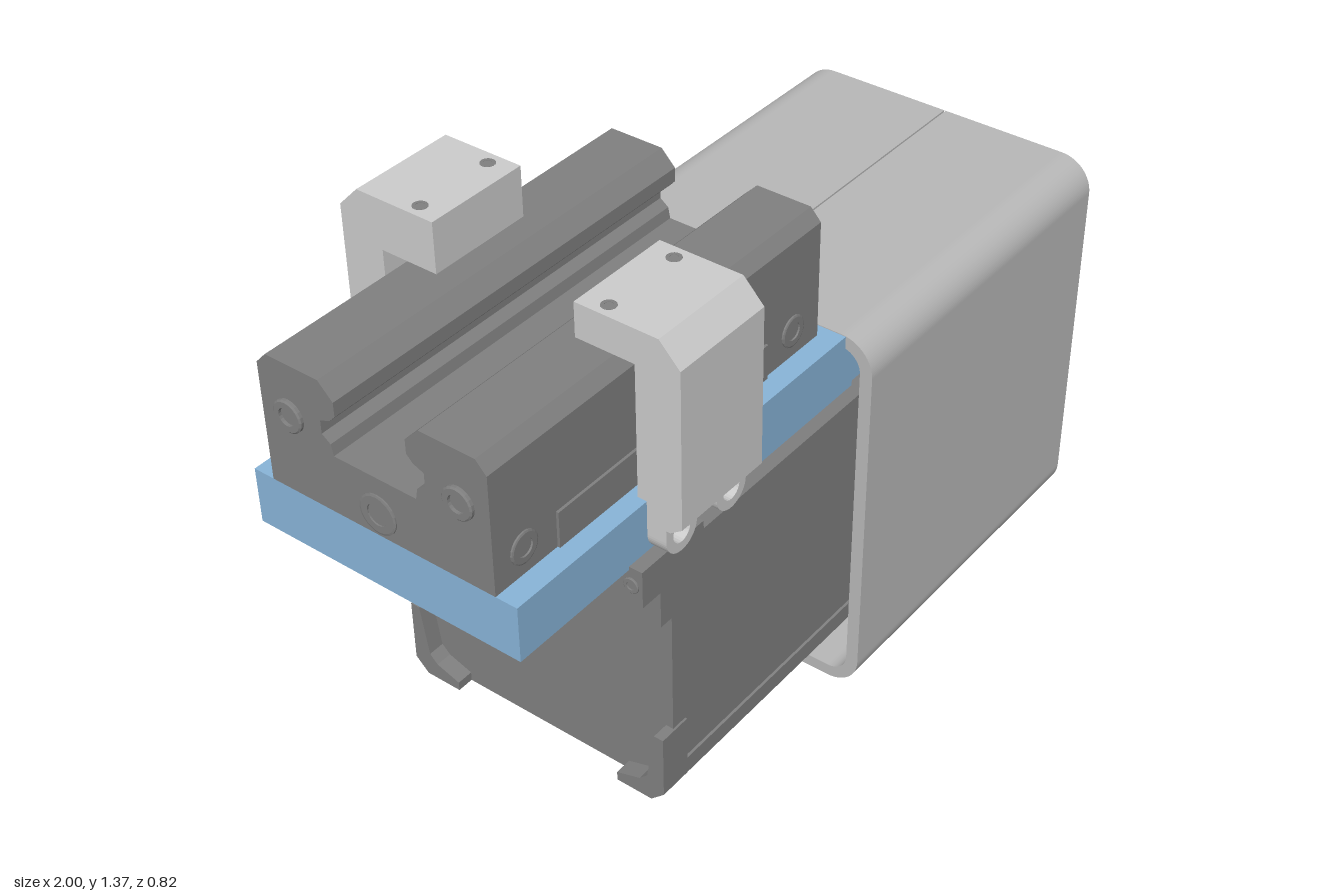
import * as THREE from 'three';

const lightGrey = new THREE.MeshStandardMaterial({ color: 0xcccccc });
const sleeveGrey = new THREE.MeshStandardMaterial({ color: 0xb8b8b8 });
const darkGrey = new THREE.MeshStandardMaterial({ color: 0x808080 });
const screwGrey = new THREE.MeshStandardMaterial({ color: 0x808080, side: THREE.DoubleSide });
const blue = new THREE.MeshStandardMaterial({ color: 0x88b4d8 });

function polygon(points) {
  return new THREE.Shape(points.map(([a, b]) => new THREE.Vector2(a, b)));
}

// Outline given on one side, mirrored to the other
function symmetric(points) {
  return polygon([...points, ...points.map(([a, b]) => [-a, b]).reverse()]);
}

function circlePath(a, b, r) {
  return new THREE.Path().absarc(a, b, r, 0, Math.PI * 2, true);
}

export function createModel() {
  const group = new THREE.Group();

  function add(name, geometry, material) {
    const mesh = new THREE.Mesh(geometry, material);
    mesh.name = name;
    group.add(mesh);
    return mesh;
  }

  // Extrudes a section along x; the section's first axis is -z, its second is y
  function alongX(name, shape, x0, x1, material) {
    const g = new THREE.ExtrudeGeometry(shape, { depth: x1 - x0, bevelEnabled: false, curveSegments: 16 });
    add(name, g.rotateY(Math.PI / 2).translate(x0, 0, 0), material);
  }

  function box(name, x0, x1, y0, y1, z0, z1, material) {
    const g = new THREE.BoxGeometry(x1 - x0, y1 - y0, z1 - z0);
    add(name, g.translate((x0 + x1) / 2, (y0 + y1) / 2, (z0 + z1) / 2), material);
  }

  // Socket-head screw pointing along a direction
  function screw(name, position, direction, r, h) {
    const profile = [[r, 0], [r, h * 0.7], [r * 0.9, h], [r * 0.55, h], [r * 0.55, h * 0.2], [0, h * 0.2]];
    const g = new THREE.LatheGeometry(profile.map(([a, b]) => new THREE.Vector2(a, b)), 20).toNonIndexed();
    g.computeVertexNormals();
    const mesh = add(name, g, screwGrey);
    mesh.position.set(...position);
    mesh.quaternion.setFromUnitVectors(new THREE.Vector3(0, 1, 0), new THREE.Vector3(...direction));
  }

  // Square sleeve around the front half, made of two halves with a fine seam
  const half = new THREE.Shape();
  half.moveTo(0.002, 0);
  half.lineTo(0.313, 0);
  half.absarc(0.313, 0.08, 0.08, -Math.PI / 2, 0, false);
  half.absarc(0.313, 0.87, 0.08, 0, Math.PI / 2, false);
  half.lineTo(0.002, 0.95);
  half.lineTo(0.002, 0.92);
  half.absarc(0.313, 0.87, 0.05, Math.PI / 2, 0, true);
  half.absarc(0.313, 0.08, 0.05, 0, -Math.PI / 2, true);
  half.lineTo(0.002, 0.03);
  const halfPoints = half.getPoints(16);
  for (const s of [-1, 1]) {
    alongX('sleeveHalf', polygon(halfPoints.map((p) => [s * p.x, p.y])), 0.03, 0.92, sleeveGrey);
  }

  // Motor body with slightly recessed side faces
  alongX('motorBody', symmetric([[0.31, 0.135], [0.343, 0.168], [0.343, 0.21], [0.338, 0.212],
    [0.338, 0.748], [0.343, 0.75], [0.343, 0.79], [0.313, 0.82]]), -0.57, 0.82, darkGrey);

  const cy = 0.4775;
  const foot = [[0.31, 0.342], [0.343, 0.31], [0.343, 0.155], [0.32, 0.155],
    [0.3, 0.28], [0.28, 0.3], [0.22, 0.32], [0.22, 0.342]];
  for (const s of [-1, 1]) {
    // Thin corner feet on the rear of the motor
    for (const t of [-1, 1]) {
      alongX('rearFoot', polygon(foot.map(([a, b]) => [s * a, cy + t * b])), -0.61, -0.53, darkGrey);
    }
    // Clamp supports under the plate edge, with a screw in the rear end
    box('clampSupport', -0.68, -0.49, 0.74, 0.828, s * 0.33 - 0.026, s * 0.33 + 0.026, darkGrey);
    screw('supportScrew', [-0.68, 0.785, s * 0.33], [-1, 0, 0], 0.018, 0.004);
    // Screws on the top ledge of the flange
    screw('ledgeScrew', [0.86, 0.82, s * 0.25], [0, 1, 0], 0.018, 0.004);
  }
  box('rearConnector', -0.81, -0.55, 0.76, 0.825, -0.08, 0.08, darkGrey);

  // Front flange with corner holes
  const flange = symmetric([[0.318, 0.135], [0.343, 0.16], [0.343, 0.795], [0.318, 0.82]]);
  for (const s of [-1, 1]) {
    for (const t of [-1, 1]) flange.holes.push(circlePath(s * 0.306, cy + t * 0.306, 0.016));
  }
  alongX('frontFlange', flange, 0.82, 0.905, darkGrey);

  // Output disc: stepped rim, wide bore, ring of eight holes
  const rim = new THREE.Shape().absarc(0, cy, 0.31, 0, Math.PI * 2, false);
  rim.holes.push(circlePath(0, cy, 0.158));
  alongX('discRim', rim, 0.9, 0.945, darkGrey);
  const disc = new THREE.Shape().absarc(0, cy, 0.302, 0, Math.PI * 2, false);
  disc.holes.push(circlePath(0, cy, 0.158));
  for (let i = 0; i < 8; i++) {
    const a = i * Math.PI / 4;
    const r = i % 2 ? 0.217 : 0.23;
    disc.holes.push(circlePath(r * Math.cos(a), cy + r * Math.sin(a), 0.016));
  }
  alongX('outputDisc', disc, 0.945, 1, darkGrey);

  // Blue mounting plate reaching into the sleeve, with two small lugs at its end
  box('mountingPlate', -0.99, 0.03, 0.82, 0.948, -0.325, 0.325, blue);
  box('plateTongue', 0.03, 0.3, 0.82, 0.92, -0.325, 0.325, blue);
  box('plateStep', -0.49, 0.06, 0.797, 0.822, -0.325, 0.325, blue);
  for (const s of [-1, 1]) box('plateLug', 0.29, 0.32, 0.862, 0.9, s * 0.23 - 0.035, s * 0.23 + 0.035, blue);

  // Rail carriage with a grooved channel between two towers
  alongX('carriage', symmetric([[0.275, 0.948], [0.275, 1.22], [0.25, 1.247], [0.12, 1.247], [0.086, 1.212],
    [0.086, 1.18], [0.1, 1.165], [0.125, 1.155], [0.125, 1.125], [0.105, 1.11], [0.1, 1.085]]),
  -0.99, 0, darkGrey);

  // Carriage screws and side strips
  for (const [x, d] of [[0, 1], [-0.99, -1]]) {
    screw('endScrew', [x, 1, 0], [d, 0, 0], 0.045, 0.004);
    for (const s of [-1, 1]) screw('endScrew', [x, 1.13, s * 0.205], [d, 0, 0], 0.036, 0.009);
  }
  for (const s of [-1, 1]) {
    box('sideStrip', -0.82, -0.18, 0.948, 1.03, s * 0.274 - 0.007, s * 0.274 + 0.007, darkGrey);
    for (const x of [-0.91, -0.09]) screw('sideScrew', [x, 1.01, s * 0.275], [0, 0, s], 0.036, 0.005);
  }

  // Hooked clamps on both sides; the rear one has a thicker hook
  for (const [s, top] of [[1, 1.333], [-1, 1.37]]) {
    const hook = [[0.168, 1.255], [0.168, top], [0.36, top], [0.408, top - 0.05],
      [0.408, 0.92], [0.38, 0.9], [0.326, 0.9], [0.326, 0.95], [0.305, 0.95], [0.305, 1.255]];
    alongX('clampHook', polygon(hook.map(([a, b]) => [-s * a, b])), -0.625, -0.375, lightGrey);

    // Clamp foot: two rounded lugs with through holes
    const lugs = new THREE.Shape();
    lugs.moveTo(-0.625, 0.93);
    lugs.lineTo(-0.625, 0.87);
    lugs.absarc(-0.578, 0.87, 0.047, Math.PI, Math.PI * 2, false);
    lugs.lineTo(-0.469, 0.87);
    lugs.absarc(-0.422, 0.87, 0.047, Math.PI, Math.PI * 2, false);
    lugs.lineTo(-0.375, 0.93);
    lugs.holes.push(circlePath(-0.578, 0.87, 0.026), circlePath(-0.422, 0.87, 0.026));
    const g = new THREE.ExtrudeGeometry(lugs, { depth: 0.045, bevelEnabled: false, curveSegments: 12 });
    add('clampFoot', g.translate(0, 0, s > 0 ? 0.326 : -0.371), lightGrey);
    for (const x of [-0.595, -0.405]) screw('clampScrew', [x, top, s * 0.225], [0, 1, 0], 0.016, 0.001);
  }

  return group;
}
